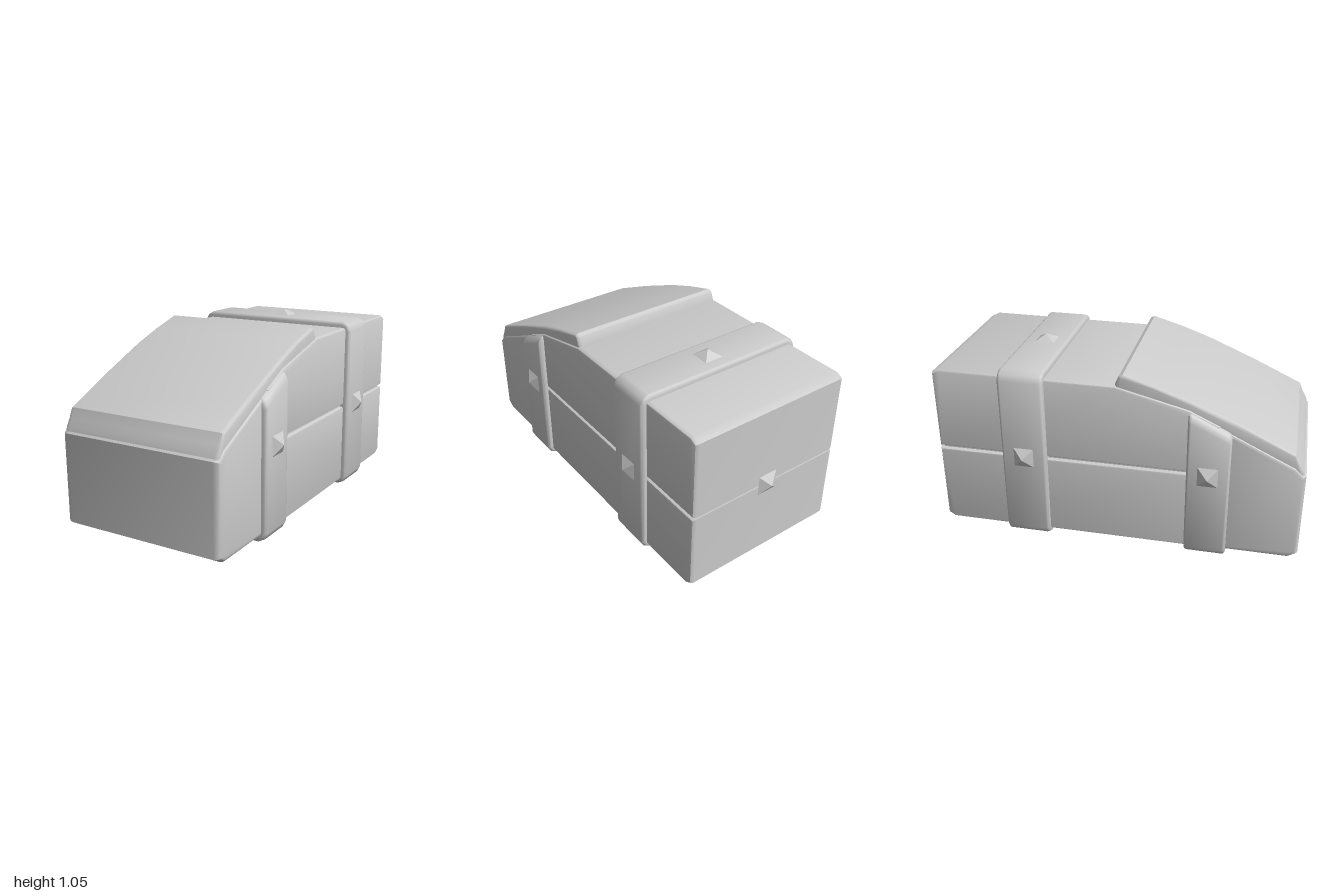
import * as THREE from 'three';
import { toCreasedNormals } from 'three/addons/utils/BufferGeometryUtils.js';

const smooth = new THREE.MeshStandardMaterial({ color: 0xcccccc });
const faceted = new THREE.MeshStandardMaterial({ color: 0xcccccc, flatShading: true });

// Extrudes an outline symmetrically about z = 0, with softened edges kept inside it.
function softExtrude(points, halfDepth, size, thickness) {
  const shape = new THREE.Shape(points.map(([x, y]) => new THREE.Vector2(x, y)));
  const geo = new THREE.ExtrudeGeometry(shape, {
    depth: 2 * (halfDepth - thickness),
    bevelEnabled: true,
    bevelSize: size,
    bevelThickness: thickness,
    bevelOffset: -size,
    bevelSegments: 3,
  });
  return geo.translate(0, 0, thickness - halfDepth);
}

export function createModel() {
  const model = new THREE.Group();

  const add = (name, geo, crease = 0.6) => {
    const mesh = new THREE.Mesh(toCreasedNormals(geo, crease), smooth);
    mesh.name = name;
    model.add(mesh);
    return mesh;
  };

  // Side profile given as [z, y], spread across x
  const addProfile = (name, points, halfWidth, size, thickness) =>
    add(name, softExtrude(points, halfWidth, size, thickness).rotateY(-Math.PI / 2));

  // Lower and upper case halves, leaving a narrow seam between them
  addProfile('lowerCase', [
    [-0.92, 0.07], [0.56, 0.07], [0.56, 0.52], [-0.96, 0.52], [-0.96, 0.095],
  ], 0.46, 0.014, 0.022);
  addProfile('upperCase', [
    [-0.96, 0.53], [0.56, 0.53], [0.56, 0.81], [0.4, 0.885], [0.02, 0.98],
    [-0.92, 0.985], [-0.96, 0.965],
  ], 0.46, 0.014, 0.022);

  // Recessed core closing the seam
  const core = new THREE.BoxGeometry(0.88, 0.2, 1.44);
  core.translate(0, 0.525, -0.22);
  add('seamCore', core);

  // Nose block
  addProfile('nose', [
    [0.5, 0.07], [0.95, 0.07], [1, 0.1], [1, 0.57], [0.95, 0.62], [0.5, 0.835],
  ], 0.46, 0.025, 0.035);

  // Sloping lid folded over the nose, with a raised rear lip
  addProfile('lid', [
    [0.9, 0.45], [0.998, 0.55], [0.985, 0.6], [0.962, 0.64], [0.94, 0.69],
    [0.67, 0.815], [0.4, 0.93], [0.23, 0.99], [0.06, 1.04], [0.04, 1.03],
    [0.02, 0.985], [0.02, 0.87], [0.4, 0.78],
  ], 0.45, 0.015, 0.02);

  // Bands wrapped around the case
  const bandOutline = (top) => {
    const w = 0.49, bottom = 0.04, c = 0.05, m = 0.017;
    const right = [
      [w - c, bottom], [w - m, bottom + m], [w, bottom + c],
      [w, top - c], [w - m, top - m], [w - c, top],
    ];
    const left = right.map(([x, y]) => [-x, y]).reverse();
    return [...right, ...left];
  };
  const rearBand = softExtrude(bandOutline(1.015), 0.122, 0.018, 0.018);
  rearBand.translate(0, 0, -0.47);
  add('rearBand', rearBand, 0.7);

  // The front band's top follows the slope of the lid
  const frontBand = softExtrude(bandOutline(0.885), 0.112, 0.018, 0.018);
  frontBand.translate(0, 0, 0.51);
  const pos = frontBand.attributes.position;
  for (let i = 0; i < pos.count; i++) {
    if (pos.getY(i) > 0.5) pos.setY(i, pos.getY(i) - (pos.getZ(i) - 0.4) * 0.48);
  }
  add('frontBand', frontBand, 0.7);

  // Four-sided pyramid studs, pointing away from the surface
  const studGeo = new THREE.ConeGeometry(0.055 * Math.SQRT2, 0.036, 4);
  studGeo.rotateY(Math.PI / 4).translate(0, 0.018, 0);
  const addStud = (name, position, direction) => {
    const stud = new THREE.Mesh(studGeo, faceted);
    stud.name = name;
    stud.position.set(...position);
    stud.quaternion.setFromUnitVectors(
      new THREE.Vector3(0, 1, 0), new THREE.Vector3(...direction));
    model.add(stud);
  };
  for (const [label, z] of [['front', 0.51], ['rear', -0.47]]) {
    addStud(label + 'LeftStud', [0.489, 0.53, z], [1, 0, 0]);
    addStud(label + 'RightStud', [-0.489, 0.53, z], [-1, 0, 0]);
    addStud(label + 'BottomStud', [0, 0.036, z], [0, -1, 0]);
  }
  addStud('topStud', [0, 1.014, -0.47], [0, 1, 0]);
  addStud('backStud', [0, 0.53, -0.964], [0, 0, -1]);

  return model;
}
